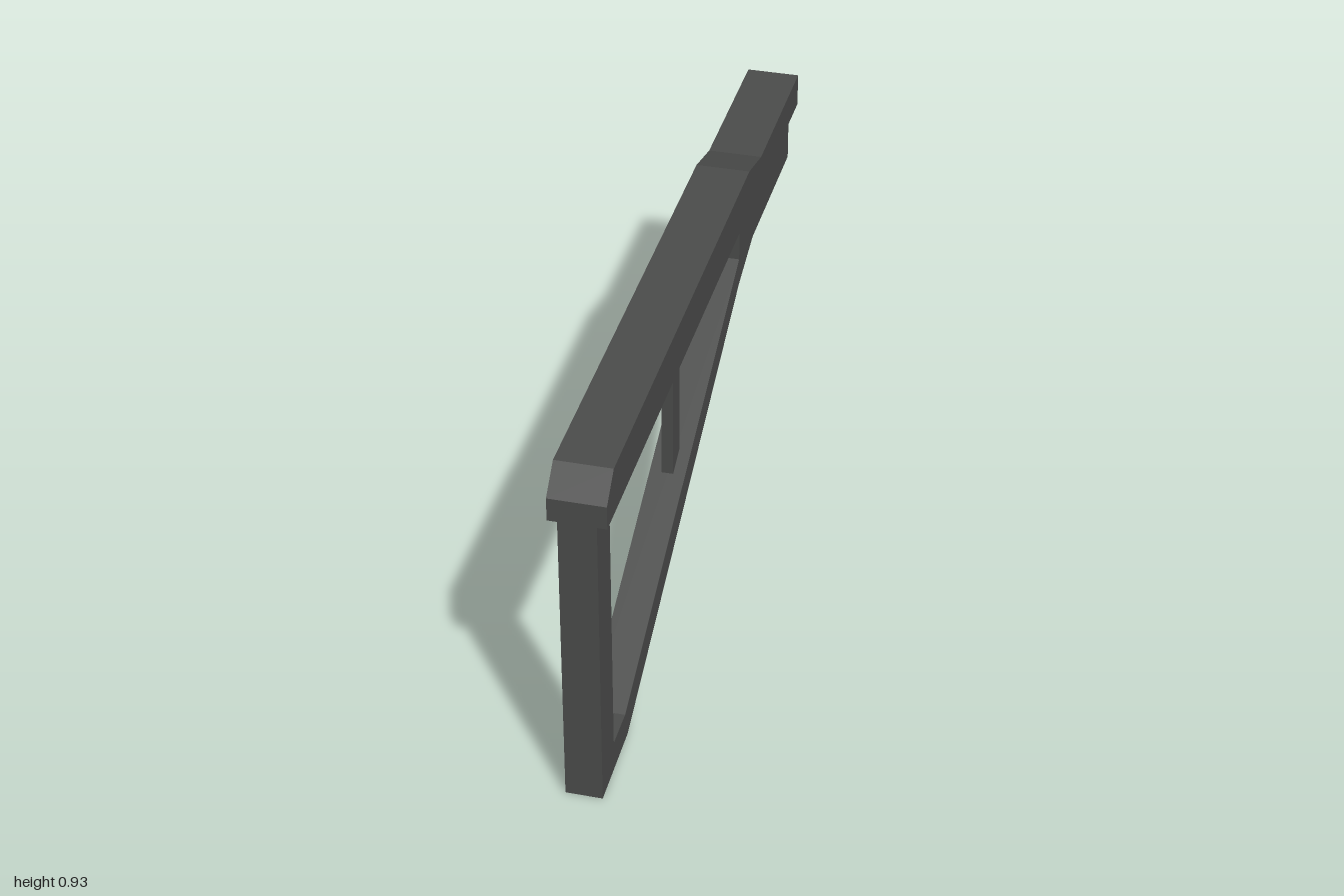
import * as THREE from 'three';

const material = new THREE.MeshStandardMaterial({ color: 0x4c4d4c, flatShading: true });

// Side profile given as [z, y] points, extruded across x and centred on x = 0
function profilePart(name, points, width) {
  const shape = new THREE.Shape(points.map(([z, y]) => new THREE.Vector2(z, y)));
  const geometry = new THREE.ExtrudeGeometry(shape, { depth: width, bevelEnabled: false });
  geometry.translate(0, 0, -width / 2);
  geometry.rotateY(-Math.PI / 2);
  const mesh = new THREE.Mesh(geometry, material);
  mesh.name = name;
  return mesh;
}

export function createModel() {
  const group = new THREE.Group();
  group.name = 'supportBracket';

  // Wide top beam with chamfered front and stepped-down rear
  group.add(profilePart('topBeam', [
    [1, 0.807], [1, 0.868], [0.938, 0.93], [-0.4, 0.93],
    [-0.54, 0.895], [-1, 0.895], [-1, 0.805], [-0.45, 0.807],
  ], 0.14));

  // Front post, foot, diagonal brace and rear block in one piece
  group.add(profilePart('frame', [
    [1, 0.81], [1, 0], [0.77, 0.008], [-0.4, 0.583], [-0.56, 0.635], [-1, 0.635],
    [-1, 0.81], [-0.4, 0.81], [-0.4, 0.66], [0.79, 0.085], [0.895, 0.085], [0.895, 0.81],
  ], 0.092));

  // Thin upright between brace and beam
  group.add(profilePart('strut', [
    [0.19, 0.81], [0.19, 0.34], [0.123, 0.37], [0.123, 0.81],
  ], 0.03));

  return group;
}
